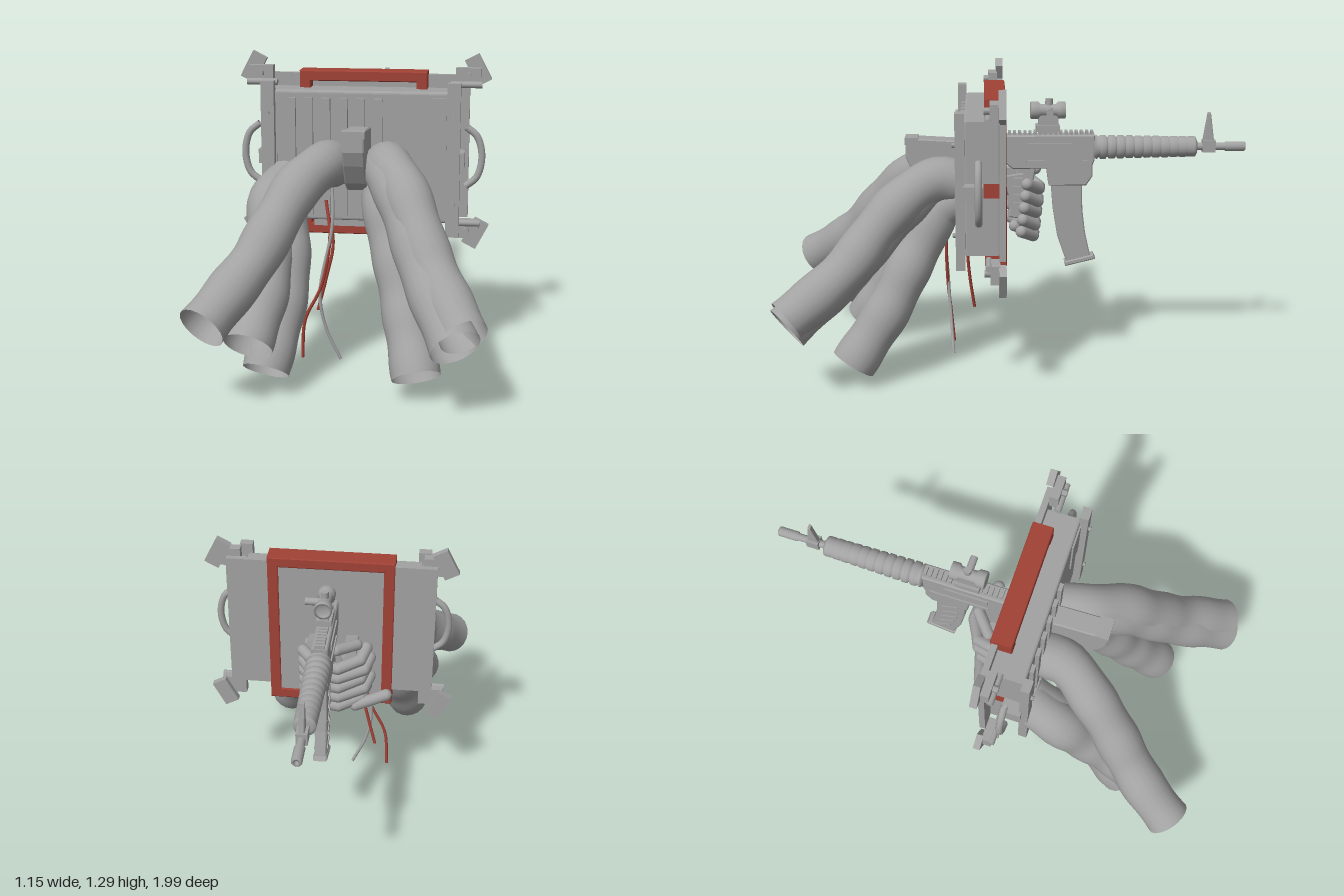
import * as THREE from 'three';

const grey = new THREE.MeshStandardMaterial({ color: 0xa2a2a2, side: THREE.DoubleSide });
grey.name = 'grey';
const red = new THREE.MeshStandardMaterial({ color: 0xa24236 });
red.name = 'red';
const V = (p) => new THREE.Vector3(...p);

function add(parent, name, geo, mat = grey) {
  const m = new THREE.Mesh(geo, mat);
  m.name = name;
  parent.add(m);
  return m;
}
// Box given by its limits on each axis
function box(parent, name, [x0, x1], [y0, y1], [z0, z1], mat = grey) {
  const m = add(parent, name, new THREE.BoxGeometry(x1 - x0, y1 - y0, z1 - z0), mat);
  m.position.set((x0 + x1) / 2, (y0 + y1) / 2, (z0 + z1) / 2);
  return m;
}
function tube(parent, name, pts, r, mat = grey) {
  return add(parent, name, new THREE.TubeGeometry(new THREE.CatmullRomCurve3(pts.map(V)), 20, r, 10), mat);
}
// Open hose whose radius swells and narrows along its length
function hose(parent, name, pts, r, phase) {
  const curve = new THREE.CatmullRomCurve3(pts.map(V)), seg = 32, sides = 20;
  const geo = new THREE.TubeGeometry(curve, seg, r, sides);
  const pos = geo.attributes.position, v = new THREE.Vector3();
  for (let i = 0; i <= seg; i++) {
    const c = curve.getPointAt(i / seg);
    const k = 1 + 0.035 * Math.sin(i * 0.8 + phase);
    for (let j = 0; j <= sides; j++) {
      const n = i * (sides + 1) + j;
      v.fromBufferAttribute(pos, n).sub(c).multiplyScalar(k).add(c);
      pos.setXYZ(n, v.x, v.y, v.z);
    }
  }
  geo.computeVertexNormals();
  // Close the shading seam along the hose
  const nor = geo.attributes.normal, b = new THREE.Vector3();
  for (let i = 0; i <= seg; i++) {
    const p = i * (sides + 1), q = p + sides;
    v.fromBufferAttribute(nor, p).add(b.fromBufferAttribute(nor, q)).normalize();
    nor.setXYZ(p, v.x, v.y, v.z);
    nor.setXYZ(q, v.x, v.y, v.z);
  }
  return add(parent, name, geo);
}
// Side profile of [forward, y] points, where forward is -z, extruded across x
function profile(parent, name, pts, width, bevel = 0.005) {
  const shape = new THREE.Shape(pts.map((p) => new THREE.Vector2(p[0], p[1])));
  const geo = new THREE.ExtrudeGeometry(shape, {
    depth: width - 2 * bevel, bevelEnabled: true, bevelSize: bevel, bevelThickness: bevel, bevelOffset: -bevel, bevelSegments: 1,
  });
  geo.translate(0, 0, -width / 2 + bevel).rotateY(Math.PI / 2);
  return add(parent, name, geo);
}
// Lathe along -z from [radius, forward] points
function barrelLathe(parent, name, pts, y, sides = 20) {
  const geo = new THREE.LatheGeometry(pts.map((p) => new THREE.Vector2(p[0], p[1])), sides);
  geo.rotateX(-Math.PI / 2);
  const m = add(parent, name, geo);
  m.position.y = y;
  return m;
}

function buildRig() {
  const g = new THREE.Group();
  g.name = 'rig';
  g.position.x = 0.018;
  // Red carrying frame round the back panel
  const shape = new THREE.Shape();
  const rect = (s, w, y0, y1) => s.moveTo(-w, y0).lineTo(w, y0).lineTo(w, y1).lineTo(-w, y1).closePath();
  rect(shape, 0.268, 0.52, 1.222);
  shape.holes.push(rect(new THREE.Path(), 0.222, 0.565, 1.178));
  const frame = new THREE.ExtrudeGeometry(shape, { depth: 0.084, bevelEnabled: true, bevelSize: 0.004, bevelOffset: -0.004, bevelThickness: 0.003, bevelSegments: 1 });
  add(g, 'redFrame', frame, red).position.z = 0.033;
  box(g, 'backPanel', [-0.225, 0.225], [0.56, 1.18], [0.038, 0.06]);
  // Main case with a bevelled rim
  const cs = rect(new THREE.Shape(), 0.372, 0.6, 1.15);
  const cg = new THREE.ExtrudeGeometry(cs, { depth: 0.126, bevelEnabled: true, bevelSize: 0.012, bevelOffset: -0.012, bevelThickness: 0.012, bevelSegments: 3 });
  add(g, 'case', cg).position.z = 0.067;
  box(g, 'caseFoot', [-0.2, 0.2], [0.57, 0.61], [0.09, 0.18]);
  for (let i = 0; i < 6; i++) {
    const x = -0.288 + i * 0.0725;
    box(g, 'caseRib', [x - 0.017, x + 0.017], [0.625, 1.12], [0.195, 0.222]);
  }
  box(g, 'casePanel', [0.25, 0.355], [0.91, 1.125], [0.2, 0.212]);
  for (const s of [-1, 1]) {
    const span = (a, b) => [Math.min(s * a, s * b), Math.max(s * a, s * b)];
    box(g, 'wingPlate', span(0.26, 0.443), [0.595, 1.205], [0.036, 0.062]);
    box(g, 'redSideTab', span(0.3, 0.375), [0.84, 0.9], [0.06, 0.125], red);
    box(g, 'sideStrap', span(0.35, 0.43), [0.84, 0.9], [0.125, 0.21]);
    box(g, 'post', span(0.357, 0.412), [0.55, 1.19], [0.2, 0.238]);
    for (const y of [0.69, 1.06]) {
      const b = add(g, 'postBolt', new THREE.CylinderGeometry(0.01, 0.01, 0.014, 6));
      b.rotation.x = Math.PI / 2;
      b.position.set(s * 0.385, y, 0.243);
    }
    // Curved side handle
    tube(g, 'sideHandle', [[s * 0.435, 1.0, 0.145], [s * 0.48, 0.96, 0.145], [s * 0.5, 0.875, 0.145], [s * 0.48, 0.79, 0.145], [s * 0.435, 0.75, 0.145]], 0.015);
    // Corner clamps at top and bottom
    for (const t of [-1, 1]) {
      const y = (d) => 0.875 + t * d;
      const ys = (a, b) => [Math.min(y(a), y(b)), Math.max(y(a), y(b))];
      const flap = add(g, 'cornerFlap', new THREE.BoxGeometry(0.066, 0.12, 0.03));
      flap.position.set(s * 0.476, y(0.351), 0.05);
      flap.rotation.z = s * t * 0.48;
      box(g, 'cornerBlock', span(0.385, 0.49), ys(0.285, 0.363), [0.06, 0.1]);
      const rod = add(g, 'cornerRod', new THREE.CylinderGeometry(0.014, 0.014, 0.13, 10));
      rod.rotation.z = Math.PI / 2;
      rod.position.set(s * 0.43, y(0.295), 0.105);
      const bolt = add(g, 'cornerBolt', new THREE.CylinderGeometry(0.015, 0.015, 0.025, 6));
      bolt.rotation.x = Math.PI / 2;
      bolt.position.set(s * 0.438, y(0.33), 0.11);
    }
  }
  // Arched bracket between the hoses
  profile(g, 'centreBracket', [[-0.2, 0.75], [-0.2, 1.0], [-0.25, 1.01], [-0.42, 1.02], [-0.455, 1.005], [-0.455, 0.94], [-0.43, 0.88], [-0.38, 0.8], [-0.32, 0.76], [-0.26, 0.75]], 0.088);
  box(g, 'bracketLip', [-0.047, 0.047], [0.995, 1.024], [0.4, 0.457]);
  return g;
}

function buildGun() {
  const g = new THREE.Group();
  g.name = 'rifle';
  g.position.x = 0.02;
  profile(g, 'receiver', [[-0.045, 0.92], [-0.045, 1.03], [0.35, 1.03], [0.35, 0.92], [0.342, 0.9], [0.342, 0.85], [0.315, 0.81], [0.155, 0.81], [0.145, 0.885], [0, 0.885]], 0.068);
  for (let i = 0; i < 17; i++) box(g, 'railTooth', [-0.02, 0.02], [1.025, 1.045], [-0.345 + i * 0.022, -0.333 + i * 0.022]);
  for (const s of [-1, 1]) {
    box(g, 'sidePort', [s * 0.036 - 0.004, s * 0.036 + 0.004], [0.965, 0.995], [-0.25, -0.06]);
    box(g, 'sideRib', [s * 0.036 - 0.004, s * 0.036 + 0.004], [0.91, 0.922], [-0.32, -0.06]);
  }
  // Curved magazine with raised ribs
  profile(g, 'magazine', [[0.165, 0.82], [0.175, 0.7], [0.195, 0.58], [0.235, 0.465], [0.34, 0.49], [0.315, 0.6], [0.302, 0.7], [0.298, 0.82]], 0.05);
  profile(g, 'magazineBase', [[0.225, 0.468], [0.23, 0.447], [0.362, 0.48], [0.352, 0.5]], 0.06);
  for (let i = 0; i < 5; i++) {
    const r = add(g, 'magazineRib', new THREE.BoxGeometry(0.058, 0.01, 0.08));
    r.position.set(0, 0.77 - i * 0.06, -0.236 - i * i * 0.0028);
    r.rotation.x = -0.45;
  }
  profile(g, 'pistolGrip', [[0.02, 0.89], [0.1, 0.89], [0.06, 0.66], [-0.02, 0.67]], 0.05);
  // Ribbed handguard, barrel and muzzle
  const ribs = [[0, 0.345], [0.045, 0.345], [0.052, 0.36]];
  for (let i = 0; i < 11; i++) {
    const z = 0.37 + i * 0.038, r = 0.052 - i * 0.0008;
    ribs.push([0.043, z], [r, z + 0.006], [r, z + 0.028], [0.043, z + 0.034]);
  }
  ribs.push([0.03, 0.79], [0, 0.79]);
  barrelLathe(g, 'handguard', ribs, 0.973);
  barrelLathe(g, 'barrel', [[0.016, 0.78], [0.016, 0.91], [0.021, 0.915], [0.021, 0.995], [0.016, 1.0], [0.009, 1.0], [0.009, 0.96]], 0.973, 14);
  box(g, 'sightBlock', [-0.022, 0.022], [0.95, 1.0], [-0.87, -0.815]);
  profile(g, 'frontSight', [[0.815, 0.99], [0.834, 1.12], [0.846, 1.12], [0.865, 0.99]], 0.022, 0.003);
  // Scope, mount and knob
  barrelLathe(g, 'scope', [[0, 0.075], [0.034, 0.075], [0.037, 0.08], [0.037, 0.11], [0.027, 0.12], [0.027, 0.185], [0.037, 0.195], [0.037, 0.225], [0.028, 0.225], [0.028, 0.215], [0, 0.215]], 1.133);
  box(g, 'scopeMount', [-0.02, 0.02], [1.035, 1.112], [-0.195, -0.11]);
  box(g, 'scopeClamp', [-0.032, 0.032], [1.045, 1.072], [-0.2, -0.1]);
  const knob = add(g, 'scopeKnob', new THREE.CylinderGeometry(0.016, 0.016, 0.06, 12));
  knob.rotation.z = Math.PI / 2;
  knob.position.set(0.05, 1.135, -0.155);
  const turret = add(g, 'scopeTurret', new THREE.CylinderGeometry(0.016, 0.016, 0.03, 12));
  turret.position.set(0, 1.168, -0.155);
  return g;
}

// Segmented hand wrapped round the grip
function buildHand() {
  const g = new THREE.Group();
  g.name = 'hand';
  const capsule = (name, a, b, r) => {
    const d = V(b).sub(V(a));
    const m = add(g, name, new THREE.CapsuleGeometry(r, d.length(), 5, 12));
    m.position.copy(V(a)).addScaledVector(d, 0.5);
    m.quaternion.setFromUnitVectors(new THREE.Vector3(0, 1, 0), d.normalize());
  };
  box(g, 'palm', [-0.1, -0.05], [0.7, 0.87], [-0.05, 0.03]).rotation.x = 0.15;
  box(g, 'knucklePlate', [0.08, 0.11], [0.72, 0.87], [-0.055, 0.02]).rotation.x = 0.15;
  for (let i = 0; i < 4; i++) box(g, 'knuckleStud', [0.1, 0.122], [0.735 + i * 0.035, 0.755 + i * 0.035], [-0.04, 0]);
  // Each finger is a chain of sagging segments, front lower than back
  for (let i = 0; i < 5; i++) {
    const y = 0.845 - i * 0.052, z = i * 0.006, d = (i % 2) * 0.015;
    const pts = [[-0.14 - d, y - 0.01, z - 0.01], [-0.12 - d, y - 0.035, z - 0.07], [-0.03, y - 0.055, z - 0.118], [0.06 + d, y - 0.045, z - 0.112], [0.125, y - 0.01, z - 0.06]];
    for (let k = 0; k < 4; k++) capsule('fingerSegment', pts[k], pts[k + 1], 0.026);
  }
  capsule('thumb', [-0.1, 0.86, -0.03], [-0.02, 0.87, -0.1], 0.025);
  capsule('lowerFinger', [-0.23, 0.61, -0.03], [-0.1, 0.575, -0.07], 0.026);
  capsule('lowerFinger', [-0.1, 0.575, -0.07], [0.0, 0.62, -0.01], 0.026);
  capsule('wrist', [-0.08, 0.8, 0.04], [-0.07, 0.78, 0], 0.045);
  return g;
}

export function createModel() {
  const model = new THREE.Group();
  model.name = 'model';
  model.add(buildRig(), buildGun(), buildHand());
  // Three open hoses on each side
  const hoses = [
    [[-0.1, 0.84, 0.2], [-0.12, 0.86, 0.32], [-0.2, 0.8, 0.45], [-0.27, 0.68, 0.57], [-0.335, 0.555, 0.67], [-0.41, 0.455, 0.78], [-0.49, 0.355, 0.925]],
    [[-0.29, 0.76, 0.2], [-0.33, 0.72, 0.34], [-0.315, 0.55, 0.48], [-0.31, 0.4, 0.63], [-0.345, 0.24, 0.79]],
    [[-0.27, 0.76, 0.2], [-0.29, 0.71, 0.31], [-0.265, 0.58, 0.39], [-0.25, 0.46, 0.46], [-0.255, 0.34, 0.52], [-0.3, 0.1, 0.68]],
    [[0.13, 0.84, 0.2], [0.145, 0.86, 0.32], [0.22, 0.8, 0.45], [0.285, 0.68, 0.57], [0.345, 0.555, 0.67], [0.41, 0.46, 0.78], [0.485, 0.36, 0.92]],
    [[0.12, 0.82, 0.2], [0.13, 0.85, 0.32], [0.2, 0.77, 0.45], [0.265, 0.65, 0.57], [0.32, 0.53, 0.68], [0.38, 0.43, 0.79], [0.455, 0.32, 0.925]],
    [[0.12, 0.78, 0.2], [0.13, 0.73, 0.31], [0.165, 0.59, 0.39], [0.205, 0.46, 0.46], [0.235, 0.34, 0.52], [0.295, 0.1, 0.68]],
  ];
  hoses.forEach((p, i) => hose(model, i < 3 ? 'rightHose' : 'leftHose', p, 0.096, i * 1.7));
  // Loose hanging wires
  tube(model, 'redWire', [[-0.13, 0.68, 0.2], [-0.1, 0.5, 0.2], [-0.13, 0.35, 0.19], [-0.172, 0.19, 0.17]], 0.007, red);
  tube(model, 'redWire', [[-0.12, 0.7, 0.26], [-0.1, 0.55, 0.29], [-0.14, 0.33, 0.29], [-0.21, 0.18, 0.28], [-0.225, 0.005, 0.265]], 0.007, red);
  tube(model, 'greyWire', [[-0.1, 0.82, 0.24], [-0.09, 0.6, 0.29], [-0.145, 0.3, 0.285], [-0.12, 0.14, 0.275], [-0.06, 0.005, 0.265]], 0.007);
  return model;
}
